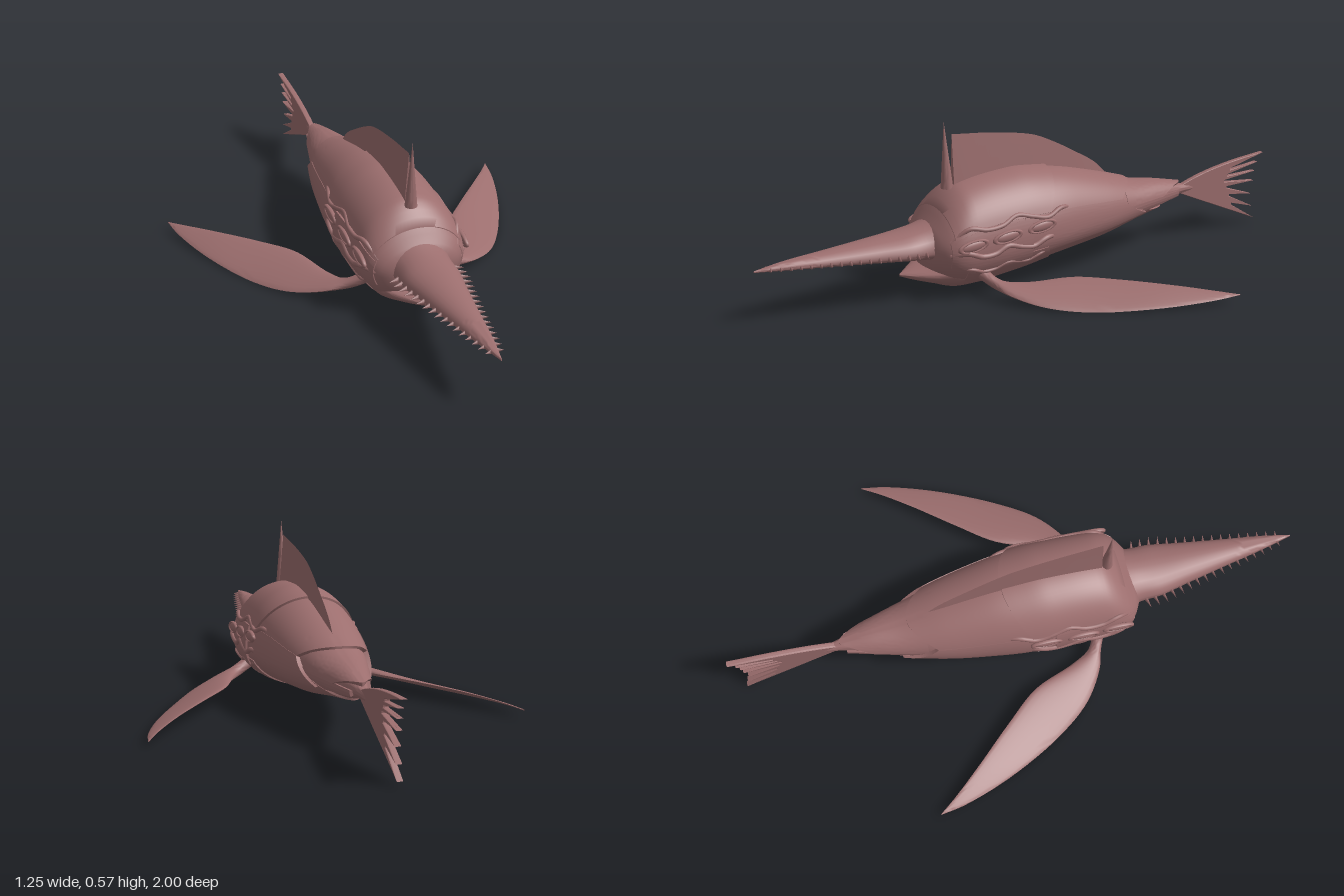
import * as THREE from 'three';
import { toCreasedNormals } from 'three/addons/utils/BufferGeometryUtils.js';

const skin = new THREE.MeshStandardMaterial({ color: 0x9c6e6e, side: THREE.DoubleSide });
const clamp = THREE.MathUtils.clamp;
const V = (x, y, z) => new THREE.Vector3(x, y, z);

// Smooth interpolation through rows [z, a, b, ...] sorted by falling z
function profile(rows) {
  const slope = (i, k) => {
    const p = rows[Math.max(i - 1, 0)], n = rows[Math.min(i + 1, rows.length - 1)];
    return (n[k] - p[k]) / (n[0] - p[0]);
  };
  return z => {
    let i = 0;
    while (i < rows.length - 2 && z < rows[i + 1][0]) i++;
    const a = rows[i], b = rows[i + 1], h = b[0] - a[0], t = clamp((z - a[0]) / h, 0, 1);
    const t2 = t * t, t3 = t2 * t;
    return a.slice(1).map((_, k) => (2 * t3 - 3 * t2 + 1) * a[k + 1] + (t3 - 2 * t2 + t) * h * slope(i, k + 1)
      + (3 * t2 - 2 * t3) * b[k + 1] + (t3 - t2) * h * slope(i + 1, k + 1));
  };
}

// Surface from a point rule over u (around) and v (along)
function loft(nu, nv, point, crease = 0.7) {
  const pos = [], idx = [];
  for (let i = 0; i <= nv; i++) for (let j = 0; j <= nu; j++) pos.push(...point(j / nu, i / nv).toArray());
  for (let i = 0; i < nv; i++) for (let j = 0; j < nu; j++) {
    const a = i * (nu + 1) + j, c = a + nu + 1;
    idx.push(a, c, a + 1, a + 1, c, c + 1);
  }
  const g = new THREE.BufferGeometry();
  g.setAttribute('position', new THREE.Float32BufferAttribute(pos, 3));
  g.setIndex(idx);
  return toCreasedNormals(g, crease);
}

// Closed hull whose rows are [z, halfWidth, top, bottom, widestHeight]
function ring(f, z, a, off = 0) {
  const [w, t, b, m] = f(z), s = Math.sin(a);
  return V((w + off) * Math.cos(a), m + s * (s > 0 ? t - m + off : m - b + off), z);
}
function hull(f, z0, z1, nu = 48, nv = 60) {
  return loft(nu, nv, (u, v) => {
    const p = ring(f, THREE.MathUtils.lerp(z0, z1, clamp((v * nv - 1) / (nv - 2), 0, 1)), u * Math.PI * 2);
    if (v === 0 || v === 1) { const [, t, b] = f(p.z); p.set(0, (t + b) / 2, p.z); }
    return p;
  });
}

const body = profile([
  [0.42, 0.10, 0.225, 0.10, 0.17], [0.39, 0.15, 0.265, 0.06, 0.17], [0.35, 0.172, 0.32, 0.03, 0.17],
  [0.29, 0.178, 0.362, 0.02, 0.17], [0.1, 0.18, 0.383, 0.045, 0.175], [0, 0.175, 0.375, 0.065, 0.18],
  [-0.1, 0.16, 0.358, 0.078, 0.185], [-0.25, 0.13, 0.315, 0.098, 0.19], [-0.4, 0.088, 0.265, 0.13, 0.195],
  [-0.52, 0.05, 0.24, 0.152, 0.195], [-0.62, 0.02, 0.215, 0.175, 0.195], [-0.68, 0.01, 0.205, 0.18, 0.192]]);
const snout = profile([
  [1, 0.002, 0.189, 0.183, 0.186], [0.9, 0.024, 0.202, 0.175, 0.184], [0.75, 0.05, 0.212, 0.163, 0.178],
  [0.6, 0.077, 0.222, 0.15, 0.173], [0.5, 0.096, 0.23, 0.14, 0.17], [0.42, 0.1, 0.245, 0.13, 0.168],
  [0.32, 0.13, 0.28, 0.12, 0.168]]);
const jaw = profile([
  [0.5, 0.004, 0.083, 0.075, 0.08], [0.46, 0.045, 0.092, 0.06, 0.08], [0.4, 0.1, 0.105, 0.042, 0.085],
  [0.34, 0.14, 0.125, 0.022, 0.1], [0.24, 0.15, 0.14, 0.02, 0.11]]);
const sail = profile([
  [0.3, 0.016, 0.53], [0.26, 0.017, 0.526], [0.15, 0.016, 0.515], [0, 0.014, 0.488], [-0.08, 0.012, 0.455],
  [-0.18, 0.01, 0.4], [-0.26, 0.008, 0.35], [-0.32, 0.004, 0.29]]);

export function createModel() {
  const model = new THREE.Group();
  const add = (name, geo) => {
    const m = new THREE.Mesh(geo, skin);
    m.name = name;
    model.add(m);
    return m;
  };

  add('body', hull(body, 0.42, -0.68));
  add('snout', hull(snout, 1, 0.32, 24));
  add('lowerJaw', hull(jaw, 0.5, 0.24, 32, 24));

  // Raised shell plates, lifting toward their rear lip
  const plate = (name, a0, a1, front, back, lift = 0.01) => add(name, loft(32, 24, (u, v) => {
    const edge = u === 0 || u === 1 || v === 0 || v === 1;
    const s = clamp((u * 32 - 1) / 30, 0, 1), t = clamp((v * 24 - 1) / 22, 0, 1);
    const a = THREE.MathUtils.lerp(a0, a1, s), z = THREE.MathUtils.lerp(front(a), back(a), t);
    return ring(body, z, a, edge ? -0.012 : 0.002 + lift * t);
  }));
  const P = Math.PI;
  const top = a => Math.max(Math.sin(a), 0);
  plate('domePlate', 0.42, P - 0.42, () => 0.37, a => 0.07 - 0.12 * top(a), 0.009);
  plate('backPlate', 0.36, P - 0.36, a => 0.12 - 0.1 * top(a), a => -0.24 - 0.14 * top(a), 0.01);
  plate('tailPlate', 0.1, P - 0.1, () => -0.33, a => -0.5 - 0.12 * top(a), 0.011);
  plate('throatPlate', -P + 0.25, -0.25, () => 0.33, a => 0.05 + 0.06 * Math.sin(a), 0.005);
  plate('bellyPlate', -P + 0.2, -0.2, () => 0.1, a => -0.36 + 0.18 * Math.sin(a), 0.005);

  // Paired flank plates, cheek ridges and eyes
  for (const side of [1, -1]) {
    const tag = side > 0 ? 'left' : 'right';
    const pair = (name, a0, a1, ...rest) =>
      plate(tag + name, side > 0 ? a0 : P - a1, side > 0 ? a1 : P - a0, ...rest);
    pair('CheekPlate', -0.42, 0.38, () => 0.385, () => 0.1, 0.008);
    pair('FlankPlate', -0.4, 0.42, () => 0.12, a => -0.36 + 0.15 * Math.sin(a), 0.013);
    pair('RearFlankPlate', -0.5, 0.12, () => -0.3, () => -0.6, 0.008);

    for (const [angle, z0, z1, r] of [[0.42, 0.38, -0.08, 0.008], [-0.02, 0.385, 0, 0.009], [-0.42, 0.36, 0.02, 0.006]]) {
      const pts = [];
      for (let i = 0; i <= 8; i++) {
        const p = ring(body, z0 + (z1 - z0) * i / 8, angle + 0.07 * Math.sin(i * 1.9), i % 8 ? 0.005 : -0.01);
        pts.push(p.setX(p.x * side));
      }
      add(tag + 'CheekRidge', new THREE.TubeGeometry(new THREE.CatmullRomCurve3(pts), 40, r, 8));
    }

    for (const [z, y] of [[0.32, 0.2], [0.195, 0.212], [0.065, 0.225]]) {
      const eye = new THREE.Group();
      eye.name = tag + 'Eye';
      const rim = new THREE.Mesh(new THREE.TorusGeometry(0.042, 0.008, 8, 28), skin);
      const ball = new THREE.Mesh(new THREE.SphereGeometry(0.038, 20, 12), skin);
      rim.name = 'eyeRim';
      ball.name = 'eyeball';
      ball.scale.z = 0.25;
      eye.add(rim, ball);
      eye.scale.set(1.15, 0.42, 0.9);
      eye.rotation.set(0, side * P / 2, side * 0.12, 'YXZ');
      eye.position.set(side * (body(z)[0] + 0.003), y, z);
      model.add(eye);
    }

    // Saw teeth along the bill
    const count = 17;
    for (let i = 0; i < count; i++) {
      const z = 0.45 + 0.5 * i / (count - 1), [w, , , m] = snout(z), len = 0.052 - 0.026 * i / count;
      const tooth = add(tag + 'Tooth', new THREE.ConeGeometry(0.015 - 0.005 * i / count, len, 6));
      tooth.scale.z = 0.6;
      tooth.rotation.set(0, side > 0 ? -0.25 : 0.25, -side * P / 2);
      tooth.position.set(side * (w + len * 0.15), m, z);
    }

    // Long swept flipper between a leading and a trailing edge
    const lead = new THREE.CatmullRomCurve3([V(0.12, 0.1, 0.3), V(0.2, 0.062, 0.26), V(0.26, 0.045, 0.24),
      V(0.36, 0.022, 0.17), V(0.45, 0.01, 0.05), V(0.55, 0.016, -0.15), V(0.61, 0.028, -0.33), V(0.625, 0.035, -0.42)]);
    const trail = new THREE.CatmullRomCurve3([V(0.12, 0.09, 0.25), V(0.185, 0.055, 0.22), V(0.225, 0.055, 0.15),
      V(0.285, 0.068, 0), V(0.38, 0.066, -0.12), V(0.5, 0.057, -0.26), V(0.58, 0.045, -0.36), V(0.622, 0.035, -0.42)]);
    add(tag + 'Flipper', loft(20, 40, (u, v) => {
      const a = (side > 0 ? u : 1 - u) * P * 2;
      const p = trail.getPoint(v).lerp(lead.getPoint(v), 0.5 + 0.5 * Math.cos(a));
      p.y += Math.sin(a) * (0.002 + 0.022 * Math.pow(1 - v, 1.6));
      p.x *= side;
      return p;
    }));
  }

  // Sail fin and the spike before it
  add('sailFin', loft(8, 42, (u, v) => {
    const z = 0.3 - 0.62 * clamp((v * 42 - 1) / 41, 0, 1), [w, t] = sail(z);
    const s = u * 2 - 1, base = body(z)[1] - 0.03;
    return V(v === 0 ? 0 : -s * w, base + (t - base) * (1 - Math.abs(s)), z);
  }, 0.5));
  const spikeTip = V(0, 0.577, 0.328);
  add('spike', loft(12, 8, (u, v) => {
    const a = u * P * 2, r = v;
    return V(0.021 * r * Math.cos(a), 0, 0.021 * r * -Math.sin(a)).add(spikeTip.clone().lerp(V(0, 0.35, 0.32), v));
  }));

  // Split tail fan: pointed rays parted by notches
  const tips = [[1, 0.278], [0.975, 0.245], [0.965, 0.212], [0.96, 0.175], [0.95, 0.125], [0.96, 0.075], [0.97, 0.027]];
  const fan = new THREE.Shape();
  fan.moveTo(0.62, 0.205);
  fan.quadraticCurveTo(0.76, 0.262, tips[0][0], tips[0][1]);
  for (let i = 1; i < tips.length; i++) {
    const x = 0.825 + 0.012 * Math.abs(i - 3), k = (x - 0.65) / 0.32;
    const y = 0.192 + ((tips[i][1] + tips[i - 1][1]) / 2 - 0.192) * k;
    fan.lineTo(x, y + 0.003);
    fan.lineTo(x, y - 0.003);
    fan.lineTo(tips[i][0], tips[i][1]);
  }
  fan.quadraticCurveTo(0.8, 0.1, 0.62, 0.18);
  const fanGeo = new THREE.ExtrudeGeometry(fan, {
    depth: 0.008, bevelThickness: 0.006, bevelSize: 0.002, bevelOffset: -0.002, bevelSegments: 2, curveSegments: 10 });
  fanGeo.translate(0, 0, -0.004).rotateY(P / 2);
  add('tailFan', fanGeo);
  // Raised ray spines
  for (const [tx, ty] of tips) {
    const a = V(0, 0.192, -0.63), b = V(0, ty, -tx).lerp(a, 0.06);
    const spine = add('tailRay', new THREE.CylinderGeometry(0.002, 0.011, a.distanceTo(b), 8));
    spine.position.copy(a).lerp(b, 0.5);
    spine.quaternion.setFromUnitVectors(V(0, 1, 0), b.clone().sub(a).normalize());
  }
  return model;
}
